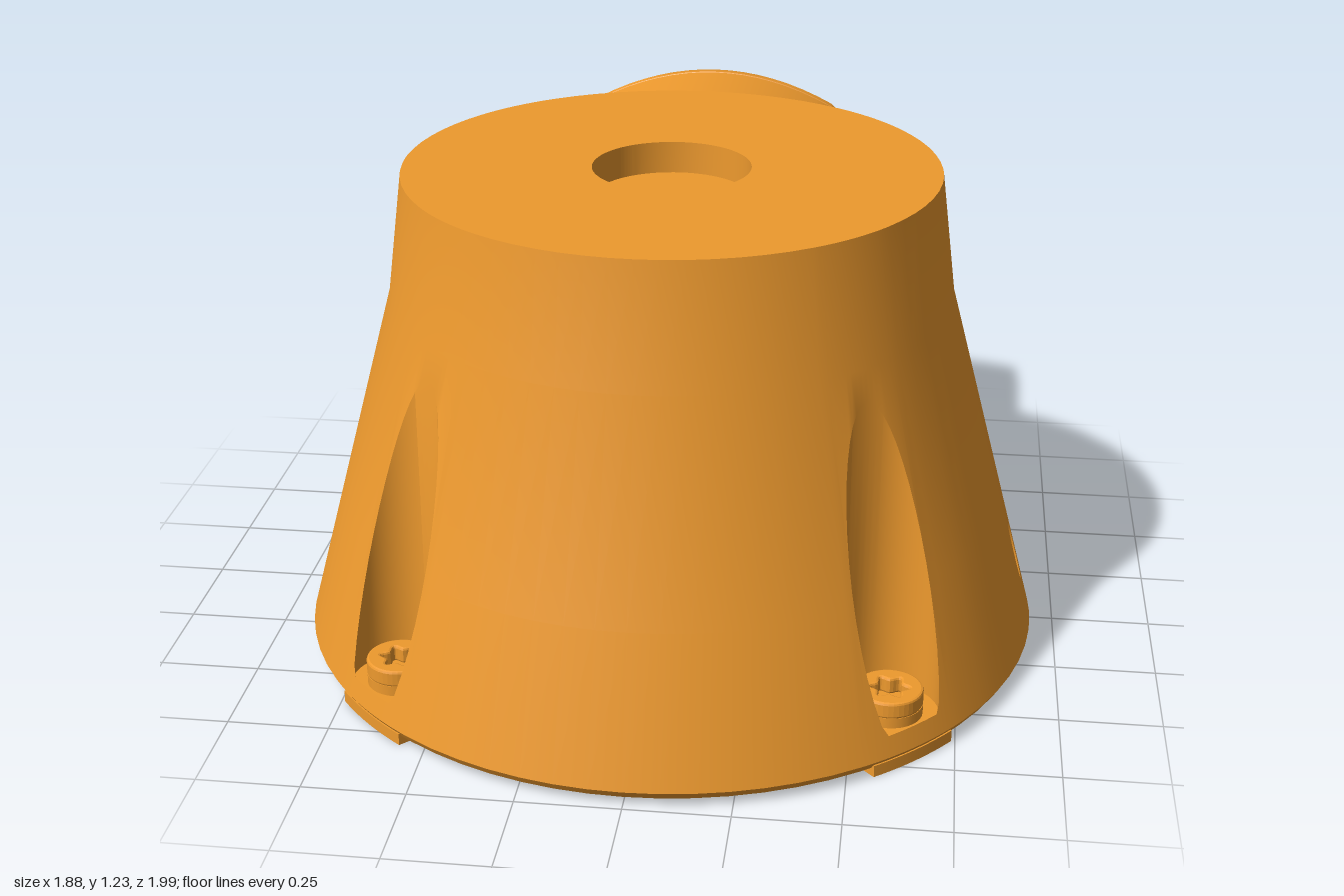
import * as THREE from 'three';
import { toCreasedNormals } from 'three/addons/utils/BufferGeometryUtils.js';

const orange = new THREE.MeshStandardMaterial({ color: 0xee9a2e });
const TAU = Math.PI * 2;

// Conical housing: radius by height, and height by radius on the lower cone
const radiusAt = (y) => (y < 0.92 ? 0.7 + (0.92 - y) * 0.27 : 0.7 - (y - 0.92) * 0.131);
const heightAt = (r) => 0.92 - (r - 0.7) / 0.27;

// Vertical round cuts: angle, distance from axis, radius, floor height
const SX = 0.59, SZ = 0.595;
const screwAngles = [[SX, SZ], [SX, -SZ], [-SX, -SZ], [-SX, SZ]].map(([x, z]) => Math.atan2(x, z));
const screwDist = Math.hypot(SX, SZ);
const cuts = [
  ...screwAngles.map((a) => ({ a, d: screwDist, r: 0.118, floor: 0.09 })),
  ...[1, -1].map((s) => ({ a: s * Math.PI / 2, d: 0.885, r: 0.024, floor: 0 })),
];

function mesh(name, geometry) {
  const m = new THREE.Mesh(geometry, orange);
  m.name = name;
  return m;
}

// Joins a closed ring of equally long point lines into a surface
function skin(lines, capStart) {
  const pos = [], idx = [], n = lines[0].length, m = lines.length;
  lines.forEach((l) => l.forEach((p) => pos.push(...p)));
  for (let u = 0; u < m; u++) {
    const w = (u + 1) % m;
    for (let v = 0; v < n - 1; v++) {
      const a = u * n + v, b = w * n + v;
      idx.push(a, b, b + 1, a, b + 1, a + 1);
    }
    if (capStart) idx.push(m * n, w * n, u * n);
  }
  if (capStart) pos.push(...capStart);
  const g = new THREE.BufferGeometry();
  g.setAttribute('position', new THREE.Float32BufferAttribute(pos, 3));
  g.setIndex(idx);
  return toCreasedNormals(g, 0.5);
}

// One vertical profile of the housing, dipping into a cut if there is one
function column(theta, ys, far, floor, near, ye) {
  const profile = [
    [0.925, 0.02], [radiusAt(0.04), 0.04], [radiusAt(ys), ys], [far, floor], [near, floor],
    [near, ye], [0.7, 0.92], [0.66, 1.225], [0.195, 1.225], [0.195, 1.145], [0, 1.145],
  ];
  return [theta, profile.map(([r, y]) => [r * Math.sin(theta), y, r * Math.cos(theta)])];
}

function plainColumn(theta, y) {
  return column(theta, y, radiusAt(y), y, radiusAt(y), y);
}

function housing() {
  const cols = [];
  for (const c of cuts) {
    const half = Math.asin(c.r / c.d), edgeY = heightAt(c.d * Math.cos(half)), n = 20;
    cols.push(plainColumn(c.a - half - 1e-5, edgeY), plainColumn(c.a + half + 1e-5, edgeY));
    for (let i = 0; i <= n; i++) {
      const off = half * Math.sin((i / n - 0.5) * Math.PI);
      const mid = c.d * Math.cos(off);
      const h = Math.sqrt(Math.max(0, c.r ** 2 - (c.d * Math.sin(off)) ** 2));
      const ys = Math.max(c.floor, heightAt(mid + h));
      const far = Math.min(mid + h, radiusAt(ys));
      cols.push(column(c.a + off, ys, far, c.floor, mid - h, heightAt(mid - h)));
    }
  }
  for (let i = 0; i < 72; i++) {
    const t = -Math.PI + (i / 72) * TAU;
    if (cuts.every((c) => Math.abs(t - c.a) > Math.asin(c.r / c.d) + 0.005)) cols.push(plainColumn(t, 0.4));
  }
  cols.sort((p, q) => p[0] - q[0]);
  return mesh('housing', skin(cols.map((c) => c[1])));
}

function basePlate() {
  const s = new THREE.Shape().absarc(0, 0, 0.925, 0, TAU);
  for (const k of [1, -1]) s.holes.push(new THREE.Path().absarc(k * 0.885, 0, 0.024, 0, TAU, true));
  const g = new THREE.ShapeGeometry(s, 48).rotateX(Math.PI / 2).translate(0, 0.02, 0);
  return mesh('basePlate', g);
}

// U-shaped foot pad, round inside and flush with the rim outside
function pad(name, angle, d, w, hole) {
  const R = 0.935, a = Math.asin(w / R);
  const s = new THREE.Shape();
  s.absarc(0, 0, R, Math.PI / 2 - a, Math.PI / 2 + a, false);
  s.absarc(0, d, w, Math.PI, TAU, false);
  s.closePath();
  s.holes.push(new THREE.Path().absarc(0, d, hole, 0, TAU, true));
  const g = new THREE.ExtrudeGeometry(s, { depth: 0.03, bevelEnabled: false, curveSegments: 16 });
  const m = mesh(name, g.rotateX(Math.PI / 2).translate(0, 0.03, 0));
  m.rotation.y = angle;
  return m;
}

// Screw with a six-lobed socket
function screw(angle) {
  const grp = new THREE.Group();
  grp.name = 'screw';
  const s = new THREE.Shape().absarc(0, 0, 0.074, 0, TAU);
  const star = [];
  for (let i = 0; i < 48; i++) {
    const t = (-i / 48) * TAU, r = 0.046 + 0.008 * Math.cos(6 * t);
    star.push(new THREE.Vector2(r * Math.cos(t), r * Math.sin(t)));
  }
  s.holes.push(new THREE.Path(star));
  const head = new THREE.ExtrudeGeometry(s, {
    depth: 0.03, bevelThickness: 0.006, bevelSize: 0.006, bevelSegments: 2, curveSegments: 20,
  });
  grp.add(mesh('screwHead', head.rotateX(-Math.PI / 2).translate(0, 0.12, 0)));
  grp.add(mesh('screwCollar', new THREE.CylinderGeometry(0.08, 0.08, 0.026, 32).translate(0, 0.103, 0)));
  grp.add(mesh('screwShank', new THREE.CylinderGeometry(0.03, 0.03, 0.08, 20).translate(0, 0.05, 0)));
  grp.position.set(screwDist * Math.sin(angle), 0, screwDist * Math.cos(angle));
  return grp;
}

// Rear outlet: tapered block with arched top, blending into the cone by a fillet
function outlet() {
  const back = -1.055, f = 0.25, steps = 16;
  const side = (y, w) => {
    const R = radiusAt(y), zc = -Math.sqrt((R + f) ** 2 - (w + f) ** 2);
    // Rounded back rim and the seam groove
    const line = [[0, 0.012], [0.005, 0.004], [0.012, 0], [0.036, 0], [0.04, 0.006], [0.044, 0]]
      .map(([dz, inset]) => [w - inset, Math.max(y * (1 - inset * 0.8), 0.02), back + dz]);
    const end = Math.atan2(-zc, -(w + f));
    let p;
    for (let i = 0; i <= steps; i++) {
      const t = Math.PI + (end - Math.PI) * (i / steps);
      p = [w + f + f * Math.cos(t), y, zc + f * Math.sin(t)];
      const dx = p[0] - SX, dz = p[2] + SZ, dist = Math.hypot(dx, dz);
      // Keep the screw channel clear
      const k = y > 0.09 && dist < 0.118 ? 0.118 / dist : 1;
      line.push([SX + dx * k, y, -SZ + dz * k]);
    }
    line.push([p[0] * 0.85, y, p[2] * 0.85]);
    return line;
  };
  const widthAt = (y) => 0.49 - 0.135 * (y - 0.02) / 1.04;
  const right = [];
  const rows = 24;
  for (let i = 0; i <= rows; i++) {
    const y = 0.02 + (1.04 * i) / rows;
    right.push(side(y, widthAt(y)));
  }
  right.push(side(1.078, 0.348), side(1.09, 0.335));
  const top = right[right.length - 1];
  const arch = [];
  for (let k = 1; k < 16; k++) {
    const q = 1 - k / 8;
    arch.push(top.map(([x, y, z]) => [x * q, y + 0.09 * (1 - q * q), z]));
  }
  const left = right.map((l) => l.map(([x, y, z]) => [-x, y, z])).reverse();
  return mesh('rearOutlet', skin([...right, ...arch, ...left], [0, 0.6, back]));
}

export function createModel() {
  const model = new THREE.Group();
  model.name = 'conicalHousing';
  model.add(housing(), basePlate(), outlet());
  for (const a of screwAngles) model.add(screw(a), pad('footPad', a, screwDist, 0.125, 0.032));
  for (const s of [1, -1]) model.add(pad('sidePad', s * Math.PI / 2, 0.885, 0.06, 0.024));
  model.position.z = 0.055;
  const root = new THREE.Group();
  root.add(model);
  return root;
}
